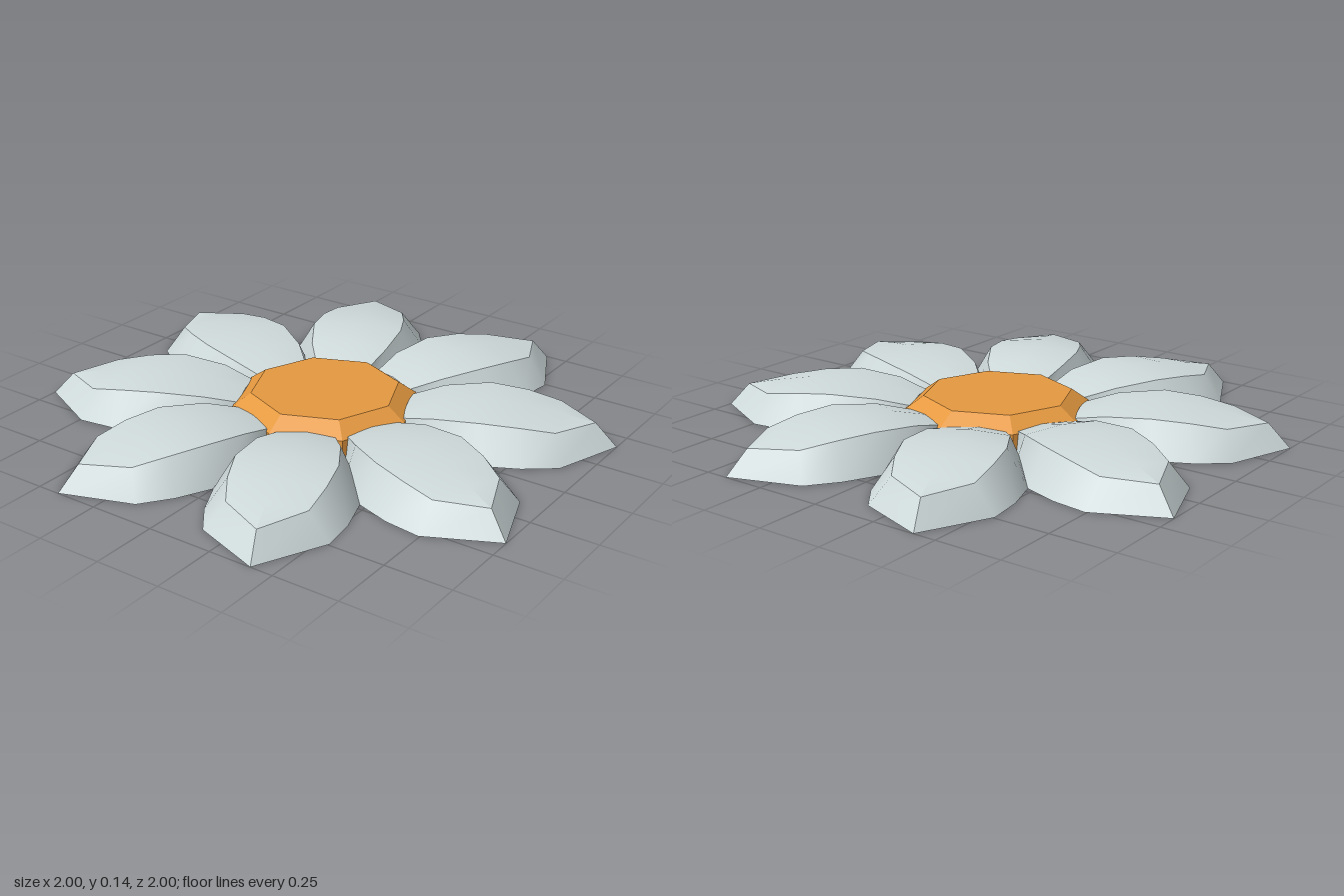
import * as THREE from 'three';

const petalMat = new THREE.MeshStandardMaterial({ color: 0xcfdadb, side: THREE.DoubleSide });
petalMat.name = 'paleGrey';
const centreMat = new THREE.MeshStandardMaterial({ color: 0xe59940, side: THREE.DoubleSide, flatShading: true });
centreMat.name = 'orange';

// Petal cross-sections from the centre outwards; x runs along the petal, z across it
const SECTIONS = [
  { base: [0.30, 0, 0.11], edge: [0.31, 0.085, 0.105], ridge: [0.31, 0.095, 0] },
  { base: [0.45, 0, 0.21], edge: [0.43, 0.115, 0.15], ridge: [0.44, 0.13, 0] },
  { base: [0.62, 0, 0.257], edge: [0.60, 0.13, 0.18], ridge: [0.60, 0.145, 0] },
  { base: [0.76, 0, 0.247], edge: [0.74, 0.12, 0.168], ridge: [0.75, 0.135, 0] },
  { base: [0.893, 0, 0.212], edge: [0.866, 0.10, 0.139], ridge: [0.88, 0.115, 0] },
  { base: [1.082, 0, 0], edge: [1.0, 0.09, 0], ridge: [1.0, 0.09, 0] },
];

const flip = ([x, y, z]) => [x, y, -z];

// Smooth surface through rows of points
function surface(rows) {
  const cols = rows[0].length;
  const index = [];
  for (let i = 0; i < rows.length - 1; i++) {
    for (let j = 0; j < cols - 1; j++) {
      const a = i * cols + j, b = a + cols;
      index.push(a, a + 1, b, b, a + 1, b + 1);
    }
  }
  const geo = new THREE.BufferGeometry();
  geo.setAttribute('position', new THREE.Float32BufferAttribute(rows.flat(2), 3));
  geo.setIndex(index);
  geo.computeVertexNormals();
  return geo;
}

export function createModel() {
  const model = new THREE.Group();
  model.name = 'flower';

  // Each petal is an open shell: crowned top, two sloping sides, inner end
  const first = SECTIONS[0];
  const shell = {
    petalTop: surface(SECTIONS.map(s => [flip(s.edge), s.ridge, s.edge])),
    petalLeftSide: surface(SECTIONS.map(s => [s.edge, s.base])),
    petalRightSide: surface(SECTIONS.map(s => [flip(s.base), flip(s.edge)])),
    petalInnerEnd: surface([
      [flip(first.base), [first.base[0], 0, 0], first.base],
      [flip(first.edge), first.ridge, first.edge],
    ]),
  };

  for (let i = 0; i < 8; i++) {
    const petal = new THREE.Group();
    petal.name = 'petal';
    for (const [name, geo] of Object.entries(shell)) {
      const mesh = new THREE.Mesh(geo, petalMat);
      mesh.name = name;
      petal.add(mesh);
    }
    petal.rotation.y = (i + 0.5) * Math.PI / 4;
    model.add(petal);
  }

  // Eight-sided raised centre, hollow underneath
  const profile = [[0.35, 0], [0.35, 0.08], [0.28, 0.13], [0, 0.13]];
  const centre = new THREE.Mesh(
    new THREE.LatheGeometry(profile.map(p => new THREE.Vector2(...p)), 8), centreMat);
  centre.name = 'flowerCentre';
  model.add(centre);

  return model;
}
